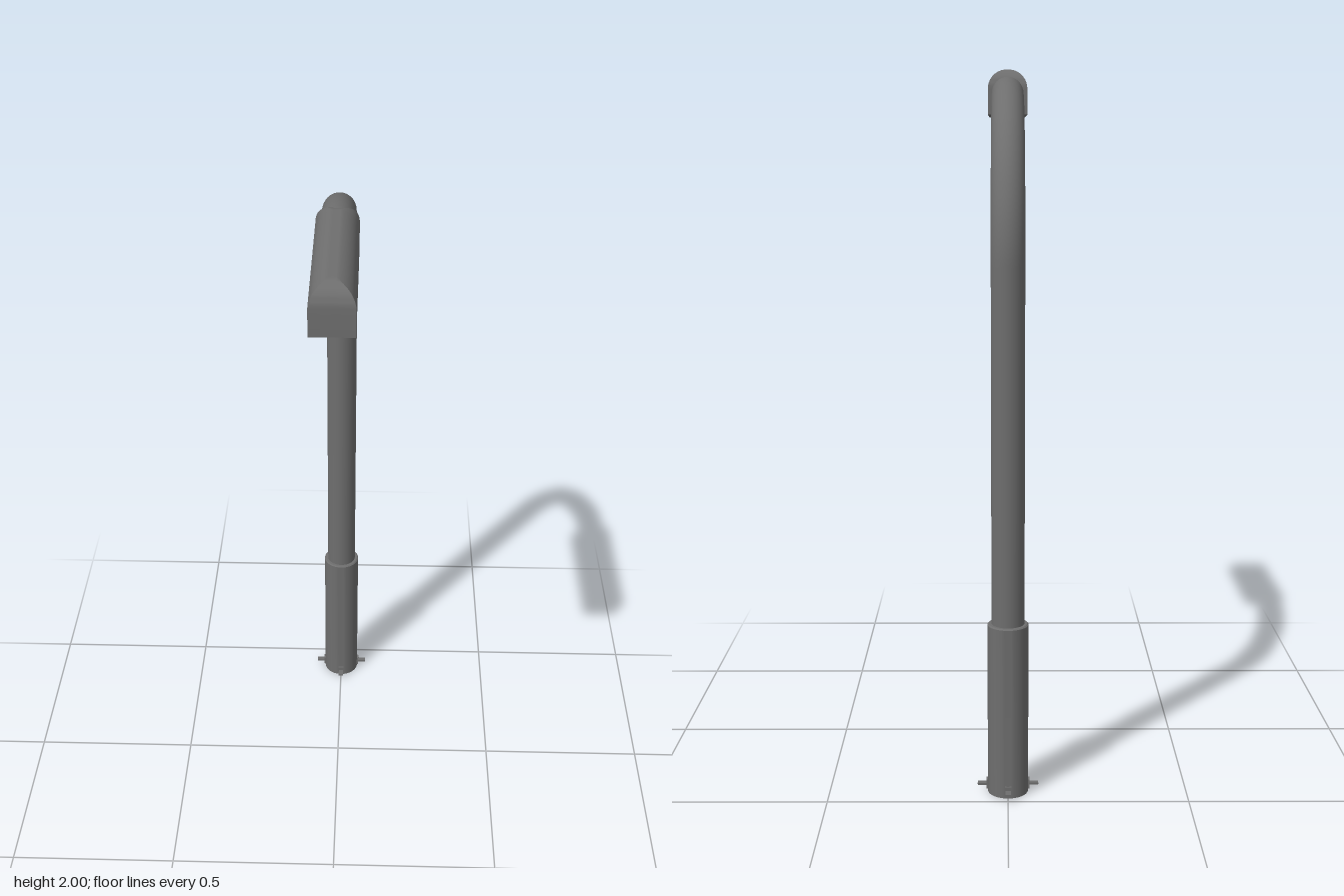
import * as THREE from 'three';
import { toCreasedNormals } from 'three/addons/utils/BufferGeometryUtils.js';

const POLE_Z = -0.424;
const BEND = 0.456;
const BEND_START = 1.475;

// Quarter circle leading from the upright pole to the lamp head
class Bend extends THREE.Curve {
  getPoint(t, target = new THREE.Vector3()) {
    const a = t * Math.PI / 2;
    return target.set(0, BEND_START + BEND * Math.sin(a), POLE_Z + BEND * (1 - Math.cos(a)));
  }
}

// Tunnel-shaped housing whose top rounds down at both ends with mitred corners
function housingGeometry(r, bottom, spring, zBack, zFront) {
  const N = 10;
  const sections = [];
  for (let i = 0; i <= N; i++) {
    const t = (i / N) * Math.PI / 2;
    sections.push([zBack + r * (1 - Math.cos(t)), spring + r * Math.sin(t)]);
  }
  for (let i = N; i >= 0; i--) {
    const t = (i / N) * Math.PI / 2;
    sections.push([zFront - r * (1 - Math.cos(t)), spring + r * Math.sin(t)]);
  }
  const pos = [], index = [];
  const count = 2 * N + 3;
  for (const [z, limit] of sections) {
    pos.push(r, bottom, z);
    for (let i = 0; i <= 2 * N; i++) {
      const a = (i / (2 * N)) * Math.PI;
      pos.push(r * Math.cos(a), Math.min(spring + r * Math.sin(a), limit), z);
    }
    pos.push(-r, bottom, z);
  }
  for (let s = 0; s < sections.length - 1; s++) {
    for (let i = 0; i < count; i++) {
      const j = (i + 1) % count;
      const a = s * count + i, b = s * count + j;
      const c = a + count, d = b + count;
      // split each quad along the mitre line of its corner
      if ((s < N) === (i <= N)) index.push(a, b, d, a, d, c);
      else index.push(a, b, c, b, d, c);
    }
  }
  // flat end faces
  const last = (sections.length - 1) * count;
  for (let i = 1; i < count - 1; i++) {
    index.push(0, i + 1, i, last, last + i, last + i + 1);
  }
  const g = new THREE.BufferGeometry();
  g.setAttribute('position', new THREE.Float32BufferAttribute(pos, 3));
  g.setIndex(index);
  return toCreasedNormals(g, 0.5);
}

export function createModel() {
  const group = new THREE.Group();
  group.name = 'streetLamp';
  const metal = new THREE.MeshStandardMaterial({ color: 0x6e6e6e });
  metal.name = 'grey metal';
  const lens = new THREE.MeshStandardMaterial({ color: 0xf0f0f0 });
  lens.name = 'white lens';

  const add = (name, geometry, parent = group, material = metal) => {
    const mesh = new THREE.Mesh(geometry, material);
    mesh.name = name;
    parent.add(mesh);
    return mesh;
  };

  // Base sleeve with a small bevel at the top
  const profile = [[0, 0], [0.0565, 0], [0.0565, 0.488], [0.053, 0.491], [0.04, 0.491]]
    .map(([x, y]) => new THREE.Vector2(x, y));
  add('baseSleeve', toCreasedNormals(new THREE.LatheGeometry(profile, 40), 0.5))
    .position.z = POLE_Z;

  // Straight pole, bend and a short stub inside the lamp head
  const top = BEND_START + BEND;
  const path = new THREE.CurvePath();
  path.add(new THREE.LineCurve3(
    new THREE.Vector3(0, 0.4, POLE_Z), new THREE.Vector3(0, BEND_START, POLE_Z)));
  path.add(new Bend());
  path.add(new THREE.LineCurve3(
    new THREE.Vector3(0, top, POLE_Z + BEND), new THREE.Vector3(0, top, POLE_Z + BEND + 0.05)));
  add('pole', new THREE.TubeGeometry(path, 110, 0.0455, 32, false));

  // Lamp head and the thin lens under it
  add('lampHousing', housingGeometry(0.057, 1.87, 1.943, 0.03, 0.507));
  add('lampLens', new THREE.BoxGeometry(0.084, 0.004, 0.45), group, lens)
    .position.set(0, 1.871, 0.268);

  // Four anchor lugs around the foot
  for (let i = 0; i < 4; i++) {
    const lug = new THREE.Group();
    lug.name = 'anchorLug' + (i + 1);
    lug.position.set(0, 0.021, POLE_Z);
    lug.rotation.y = i * Math.PI / 2;
    add('lugPlate', new THREE.BoxGeometry(0.01, 0.028, 0.018), lug).position.x = 0.056;
    add('lugTab', new THREE.BoxGeometry(0.034, 0.006, 0.015), lug).position.x = 0.068;
    group.add(lug);
  }
  return group;
}
